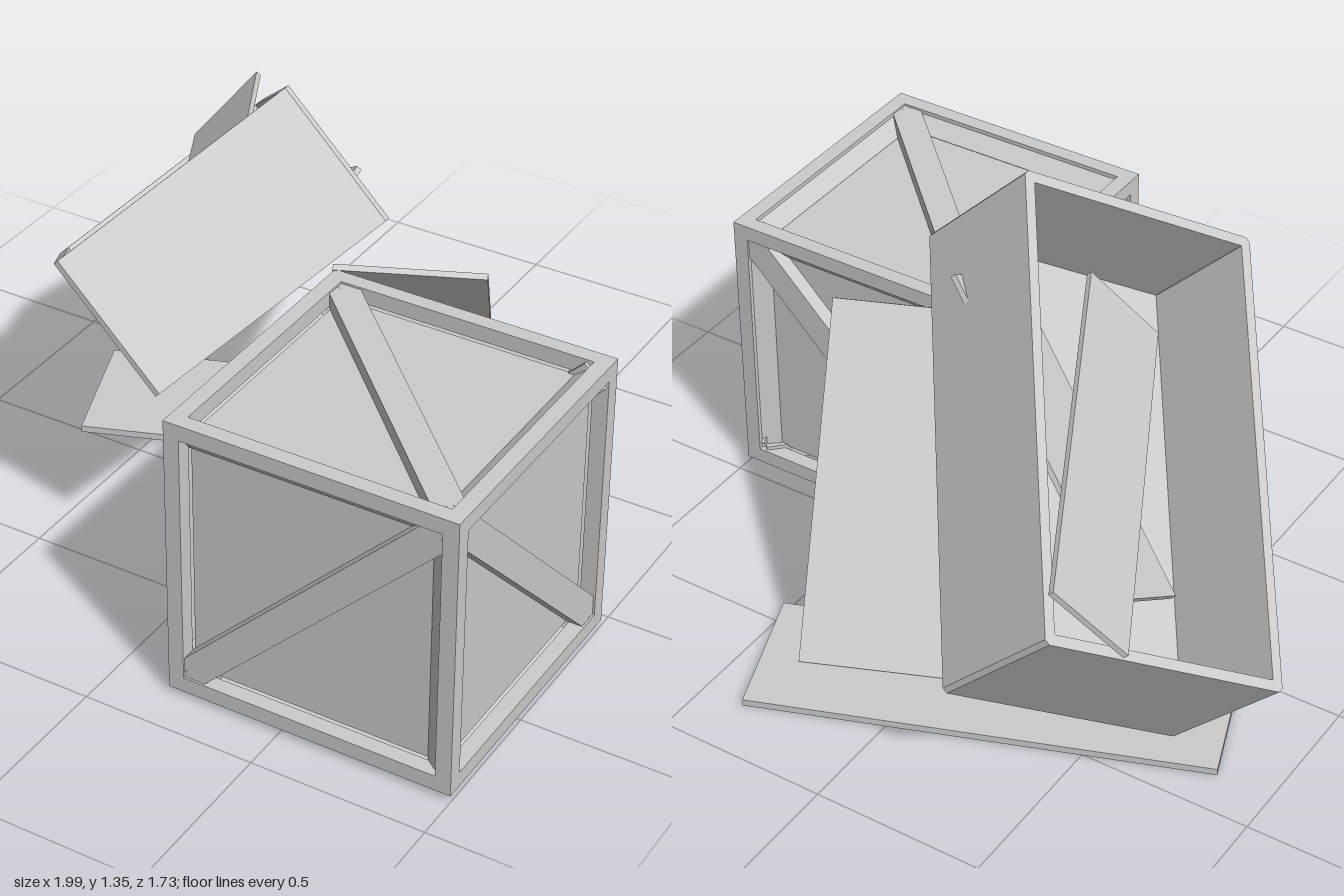
import * as THREE from 'three';

const mat = new THREE.MeshStandardMaterial({ color: 0xcccccc, flatShading: true });
const V = (x, y, z) => new THREE.Vector3(x, y, z);

function box(parent, name, w, h, d, x = 0, y = 0, z = 0) {
  const m = new THREE.Mesh(new THREE.BoxGeometry(w, h, d), mat);
  m.name = name;
  m.position.set(x, y, z);
  parent.add(m);
  return m;
}

// Turn an object so its local x and y follow the given directions
function orient(obj, xDir, yDir) {
  const u = xDir.clone().normalize();
  const n = u.clone().cross(yDir).normalize();
  const v = n.clone().cross(u);
  obj.quaternion.setFromRotationMatrix(new THREE.Matrix4().makeBasis(u, v, n));
}

// A loose board given by one corner, its length vector and its width vector
function plank(parent, name, corner, along, across, thickness) {
  const m = box(parent, name, along.length(), across.length(), thickness);
  orient(m, along, across);
  m.position.copy(corner).addScaledVector(along, 0.5).addScaledVector(across, 0.5);
}

// Closed crate: edge frame, recessed panels, a diagonal brace on each face
function closedCrate() {
  const g = new THREE.Group();
  g.name = 'closedCrate';
  const S = 0.828, B = 0.045, H = S / 2, c = H - B / 2, depth = 0.05;
  for (const a of [-c, c]) for (const b of [-c, c]) {
    box(g, 'frameBarX', S, B, B, 0, a, b);
    box(g, 'frameBarY', B, S, B, a, 0, b);
    box(g, 'frameBarZ', B, B, S, a, b, 0);
  }
  const core = 2 * (H - depth);
  box(g, 'recessedPanels', core, core, core);
  // each face: local x, local y, brace direction, sides with a sloped strip
  const faces = [
    [V(1, 0, 0), V(0, 1, 0), 1, 1, 1],
    [V(-1, 0, 0), V(0, 1, 0), -1, -1, 1],
    [V(0, 0, -1), V(0, 1, 0), -1, -1, 1],
    [V(0, 0, 1), V(0, 1, 0), -1, 1, 1],
    [V(1, 0, 0), V(0, 0, -1), -1, 1, -1],
    [V(1, 0, 0), V(0, 0, 1), -1, 1, 1],
  ];
  for (const [u, v, dir, su, sv] of faces) {
    const f = new THREE.Group();
    f.name = 'crateFace';
    orient(f, u, v);
    box(f, 'diagonalBrace', 1.07, 0.085, depth, 0, 0, H - depth / 2 - 0.006).rotation.z = dir * Math.PI / 4;
    const e = H - B - 0.02, z = H - depth * 0.65;
    box(f, 'slopedStrip', 0.06, S - 2 * B, 0.008, su * e, 0, z).rotation.y = -su * 0.65;
    box(f, 'slopedStrip', S - 2 * B, 0.06, 0.008, 0, sv * e, z).rotation.x = sv * 0.65;
    g.add(f);
  }
  g.position.set(0.585, 0.432, 0.456);
  return g;
}

// Rectangle with small cut corners
function cutRect(ShapeType, w, h, c) {
  const x = w / 2, y = h / 2;
  return new ShapeType([
    [x - c, -y], [x, c - y], [x, y - c], [x - c, y],
    [c - x, y], [-x, y - c], [-x, c - y], [c - x, -y],
  ].map(([a, b]) => new THREE.Vector2(a, b)));
}

// Open crate lying tilted: four walls and a raised floor
function openCrate() {
  const g = new THREE.Group();
  g.name = 'openCrate';
  const W = 0.757, L = 1.29, D = 0.43, T = 0.03;
  const ring = cutRect(THREE.Shape, W, L, 0.012);
  ring.holes.push(cutRect(THREE.Path, W - 2 * T, L - 2 * T, 0.001));
  const walls = new THREE.Mesh(new THREE.ExtrudeGeometry(ring, { depth: D, bevelEnabled: false }), mat);
  walls.name = 'crateWalls';
  walls.position.z = -D / 2;
  g.add(walls);
  box(g, 'crateFloor', W - T, L - T, 0.035, 0, 0, -0.172);
  orient(g, V(-0.5, -0.5, Math.SQRT1_2), V(0.5, 0.5, Math.SQRT1_2));
  g.position.set(-0.331, 0.692, -0.145);
  return g;
}

export function createModel() {
  const root = new THREE.Group();
  root.name = 'brokenCrates';
  root.add(closedCrate(), openCrate());
  // boards: on the ground, leaning on the crate, and loose inside the open crate
  plank(root, 'groundBoard', V(0.37, 0.01, -0.83), V(-1.21, 0, 0.455), V(0.145, 0, 0.385), 0.02);
  plank(root, 'leaningBoard', V(0.33, 0.022, -0.625), V(0.21, 0.832, 0.505), V(-0.375, 0, 0.165), 0.018);
  plank(root, 'upperLooseBoard', V(-0.6, 0.825, -0.82), V(0.55, 0.12, 1.06), V(-0.15, -0.205, 0.11), 0.016);
  plank(root, 'lowerLooseBoard', V(-0.59, 0.57, -0.5), V(0.74, 0.5, 0.385), V(-0.03, -0.15, 0.25), 0.016);
  return root;
}
